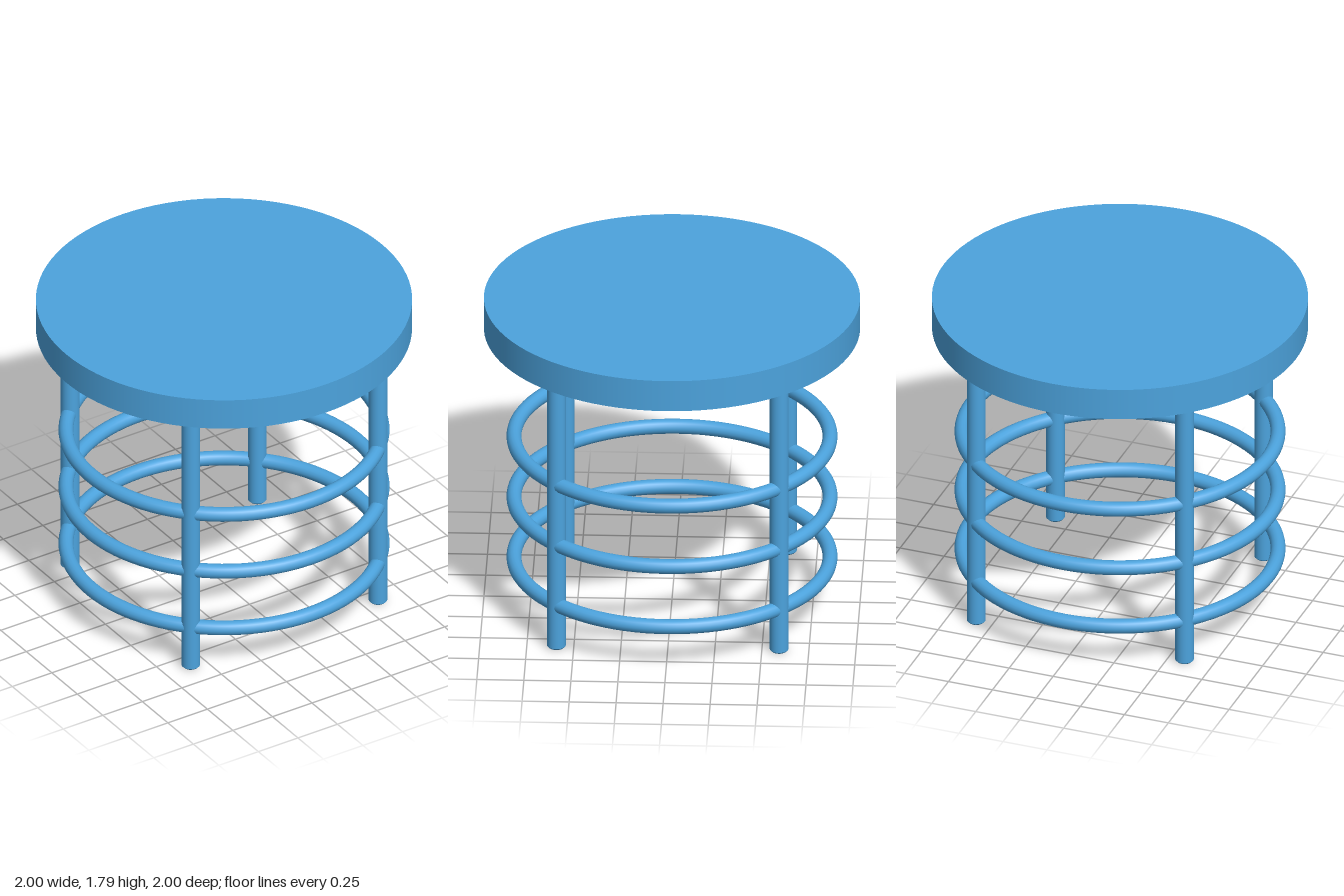
import * as THREE from 'three';

export function createModel() {
  const model = new THREE.Group();
  model.name = 'roundStool';
  const blue = new THREE.MeshStandardMaterial({ color: 0x4ca3dd });
  blue.name = 'sky blue';

  const add = (name, geometry, x, y, z) => {
    const mesh = new THREE.Mesh(geometry, blue);
    mesh.name = name;
    mesh.position.set(x, y, z);
    model.add(mesh);
    return mesh;
  };

  // Thick round seat
  const seatBottom = 1.61, seatHeight = 0.178;
  add('seat', new THREE.CylinderGeometry(1, 1, seatHeight, 96), 0, seatBottom + seatHeight / 2, 0);

  // Four round legs with a small chamfer at the foot
  const legRadius = 0.05, chamfer = 0.01, spread = 0.592;
  const shaftGeometry = new THREE.CylinderGeometry(legRadius, legRadius, seatBottom - chamfer, 24, 1, true);
  const footGeometry = new THREE.CylinderGeometry(legRadius, legRadius - chamfer, chamfer, 24);
  for (const [side, sx] of [['Left', 1], ['Right', -1]]) {
    for (const [end, sz] of [['front', 1], ['back', -1]]) {
      add(`${end}${side}Leg`, shaftGeometry, sx * spread, (seatBottom + chamfer) / 2, sz * spread);
      add(`${end}${side}Foot`, footGeometry, sx * spread, chamfer / 2, sz * spread);
    }
  }

  // Three hoops tying the legs together
  const hoopGeometry = new THREE.TorusGeometry(0.84, 0.04, 16, 96);
  hoopGeometry.rotateX(Math.PI / 2);
  [['lowerHoop', 0.253], ['middleHoop', 0.61], ['upperHoop', 0.968]].forEach(([name, y]) => {
    add(name, hoopGeometry, 0, y, 0);
  });

  return model;
}
